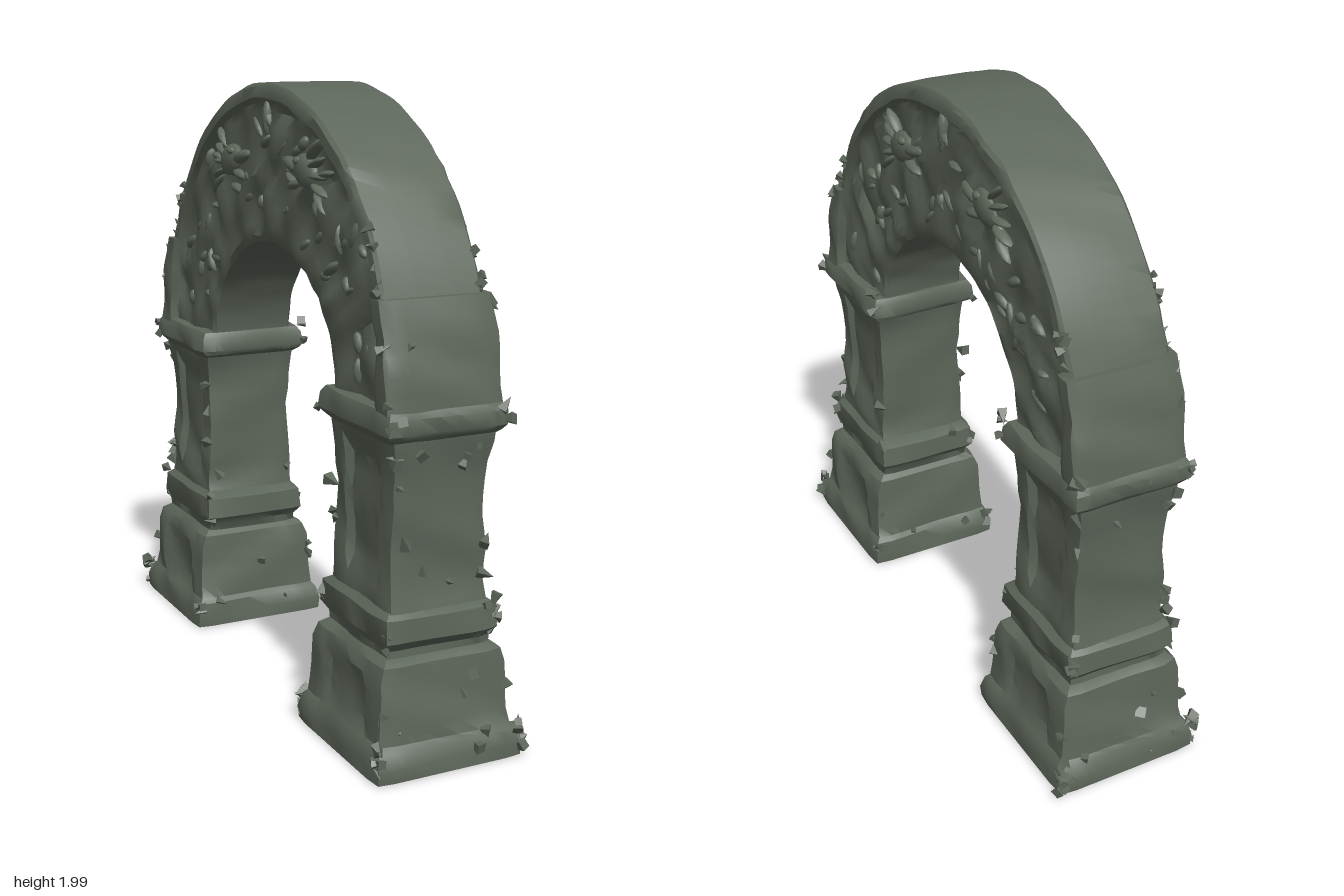
import * as THREE from 'three';
import { toCreasedNormals, mergeGeometries } from 'three/addons/utils/BufferGeometryUtils.js';

const stone = new THREE.MeshStandardMaterial({ color: 0x5d665a });
stone.name = 'mossy grey stone';

let seed = 7;
const rand = () => (seed = (seed * 16807) % 2147483647) / 2147483647;
const span = (a, b) => a + (b - a) * rand();
// Smooth lumpy value in about -1..1, used to weather surfaces
const lump = (x, y, z) =>
  (Math.sin(x * 13 + y * 19 + 2 * Math.sin(z * 11)) + Math.sin(z * 23 - y * 17 + 2 * Math.sin(y * 13 + x * 9))) / 2;

// Skin a list of closed loops, with both ends capped
function loft(loops, crease = 0.6) {
  const n = loops[0].length, pos = loops.flat(2), idx = [];
  for (let i = 0; i < loops.length - 1; i++)
    for (let j = 0; j < n; j++) {
      const a = i * n + j, b = i * n + (j + 1) % n;
      idx.push(a, b, a + n, b, b + n, a + n);
    }
  const last = (loops.length - 1) * n;
  const cap = (loop, first, flip) => {
    const c = pos.length / 3;
    for (let k = 0; k < 3; k++) pos.push(loop.reduce((s, p) => s + p[k], 0) / n);
    for (let j = 0; j < n; j++) {
      const a = first + j, b = first + (j + 1) % n;
      flip ? idx.push(c, b, a) : idx.push(c, a, b);
    }
  };
  cap(loops[0], 0, true);
  cap(loops[loops.length - 1], last, false);
  const g = new THREE.BufferGeometry();
  g.setAttribute('position', new THREE.Float32BufferAttribute(pos, 3));
  g.setIndex(idx);
  return toCreasedNormals(g, crease);
}

function mesh(name, geometry, parent) {
  const m = new THREE.Mesh(geometry, stone);
  m.name = name;
  parent.add(m);
  return m;
}

// Square column section from rows of [y, inner z, outer z, half width]
function column(rows, panel) {
  const loops = [], side = 9;
  rows.forEach((r, i) => {
    const next = rows[i + 1];
    const steps = next ? Math.max(1, Math.round((next[0] - r[0]) / 0.05)) : 1;
    for (let s = 0; s < steps; s++) {
      const [y, zi, zo, hx] = r.map((v, k) => next ? v + (next[k] - v) * s / steps : v);
      const c = [[hx, zo], [hx, zi], [-hx, zi], [-hx, zo]], loop = [];
      for (let k = 0; k < 4; k++)
        for (let j = 0; j < side; j++) {
          const u = [0, 0.12, 0.2, 0.26, 0.42, 0.58, 0.74, 0.8, 0.88][j], d = c[(k + 1) % 4];
          let x = c[k][0] + (d[0] - c[k][0]) * u, z = c[k][1] + (d[1] - c[k][1]) * u;
          const inPanel = k % 2 === 0 && j > 2 && j < 7 && panel.some(([a, b]) => y > a && y < b);
          let push = 0.008 * lump(x, y, z) - (inPanel ? 0.018 : 0);
          if (i === 0 && s === 0) push = 0;
          // Knock the sharp corners back a little
          if (j === 0) { x *= 0.975; z += z > 0.69 ? -0.006 : 0.006; }
          if (k % 2 === 0) x += Math.sign(x) * push; else z += (k === 1 ? -1 : 1) * push;
          loop.push([x, y, z]);
        }
      loops.push(loop);
    }
  });
  return loft(loops);
}

// Jagged broken chip
function chip(x, y, z, size) {
  const g = new THREE.ConeGeometry(size * 0.6, size * 1.5, 4);
  g.rotateX(span(0, 6.28)); g.rotateZ(span(0, 6.28));
  g.translate(x, y, z);
  return toCreasedNormals(g, 0.2);
}

function buildPillar() {
  const p = new THREE.Group();
  mesh('plinth', column([
    [0.01, 0.42, 0.965, 0.25], [0.05, 0.42, 0.965, 0.25], [0.095, 0.43, 0.95, 0.24],
    [0.11, 0.445, 0.935, 0.228], [0.3, 0.46, 0.91, 0.213], [0.34, 0.465, 0.905, 0.2],
    [0.36, 0.49, 0.875, 0.175]], [[0.14, 0.3]]), p);
  mesh('baseMoulding', column([
    [0.33, 0.49, 0.88, 0.175], [0.38, 0.48, 0.88, 0.175], [0.41, 0.455, 0.905, 0.19],
    [0.48, 0.46, 0.9, 0.187], [0.5, 0.5, 0.87, 0.165]], []), p);
  mesh('shaft', column([
    [0.47, 0.495, 0.885, 0.168], [0.55, 0.51, 0.87, 0.163], [0.75, 0.505, 0.87, 0.158],
    [0.92, 0.505, 0.88, 0.16], [0.98, 0.495, 0.895, 0.17], [1.02, 0.485, 0.9, 0.175]], [[0.56, 0.95]]), p);
  mesh('capital', column([
    [1.0, 0.5, 0.885, 0.17], [1.02, 0.465, 0.91, 0.19], [1.035, 0.458, 0.92, 0.203],
    [1.08, 0.46, 0.92, 0.2], [1.1, 0.47, 0.905, 0.188]], []), p);
  // Sloping block on the outside of the springing
  mesh('shoulderBlock', column([
    [1.09, 0.82, 0.905, 0.192], [1.2, 0.82, 0.89, 0.19], [1.3, 0.805, 0.868, 0.19],
    [1.41, 0.775, 0.832, 0.188]], []), p);

  // Broken corners: [y range, z inner, z outer, half width, count]
  const chips = [];
  for (const [y0, y1, zi, zo, hx, count] of [
    [0.03, 0.12, 0.43, 0.95, 0.24, 26], [0.15, 0.3, 0.46, 0.91, 0.21, 8],
    [0.38, 0.5, 0.47, 0.89, 0.18, 12], [0.52, 0.72, 0.51, 0.87, 0.16, 8],
    [0.8, 1.0, 0.51, 0.88, 0.165, 8], [1.03, 1.15, 0.47, 0.91, 0.192, 9], [1.2, 1.4, 0.83, 0.86, 0.185, 4]])
    for (let i = 0; i < count; i++) {
      const sx = rand() < 0.5 ? -1 : 1, outer = rand() < 0.75, onFace = rand() < 0.3;
      chips.push(chip(onFace ? span(-hx, hx) : sx * hx, span(y0, y1), outer ? zo : zi, span(0.022, 0.04)));
    }
  mesh('brokenEdges', mergeGeometries(chips), p);
  return p;
}

// Point between the inner (t = 0) and outer (t = 1) curves of the arch
const archPoint = (a, t) => {
  const zi = 0.48 * Math.cos(a), yi = 1.05 + 0.43 * Math.sin(a);
  return [yi + (1.1 + 0.895 * Math.sin(a) - yi) * t, zi + (0.87 * Math.cos(a) - zi) * t];
};

function buildArch() {
  // Half section: raised outer rim, hollow, carved face, inner edge
  const half = [[0.995, 0.155], [0.97, 0.166], [0.9, 0.168], [0.87, 0.15], [0.82, 0.142], [0.72, 0.147], [0.62, 0.15],
    [0.52, 0.15], [0.42, 0.15], [0.32, 0.15], [0.22, 0.15], [0.12, 0.152], [0.04, 0.152], [0, 0.14]];
  const section = [...half, [0, 0.05], [0, -0.05],
    ...half.map(([t, x]) => [t, -x]).reverse(), [1, -0.06], [1, 0.06]];
  const loops = [], n = 56;
  for (let i = 0; i <= n; i++) {
    const a = Math.PI * i / n;
    loops.push(section.map(([t, x]) => {
      const carved = t > 0.1 && t < 0.85;
      const [y, z] = archPoint(a, t + (carved ? 0 : 0.008 * lump(x, t, a)));
      return [x + Math.sign(x) * (carved ? 0.016 : 0.004) * lump(x * 2, y * 1.4, z * 1.4), y, z];
    }));
  }
  return loft(loops, 0.7);
}

// Faceted pebble stretched along a direction in the face plane
function blob(x, y, z, thick, wide, long, angle) {
  const g = new THREE.IcosahedronGeometry(1, 1);
  g.scale(thick, wide, long);
  g.rotateX(angle);
  g.translate(x, y, z);
  return toCreasedNormals(g, 0.7);
}

// Snarling beast head in low relief, snout towards the crown
function beastHead(sx, sz) {
  const x = sx * 0.15, parts = [
    blob(x, 1.73, sz * 0.29, 0.03, 0.055, 0.08, sz * 0.3),
    blob(x, 1.745, sz * 0.2, 0.026, 0.022, 0.065, sz * 0.25),
    blob(x, 1.685, sz * 0.215, 0.022, 0.016, 0.055, sz * -0.2),
    blob(x + sx * 0.018, 1.762, sz * 0.26, 0.014, 0.014, 0.022, 0)];
  for (let i = 0; i < 5; i++) // mane
    parts.push(blob(x, 1.8 - i * 0.04, sz * (0.35 + 0.012 * i), 0.024, 0.012, 0.055, sz * (-0.7 + i * 0.35)));
  return mergeGeometries(parts);
}

export function createModel() {
  const model = new THREE.Group();
  model.name = 'stoneArch';

  for (const side of [0, 1]) {
    const p = buildPillar();
    p.name = side ? 'backPillar' : 'frontPillar';
    p.rotation.y = side * Math.PI;
    model.add(p);
  }
  mesh('archRing', buildArch(), model);

  for (const sx of [-1, 1]) {
    for (const sz of [-1, 1]) mesh('beastRelief', beastHead(sx, sz), model);
    // Scrolling leaf relief around the band
    const leaves = [];
    for (let i = 0; i < 44; i++) {
      const a = span(0.15, Math.PI - 0.15), [y, z] = archPoint(a, span(0.15, 0.8));
      leaves.push(blob(sx * 0.146, y, z, span(0.01, 0.022), span(0.01, 0.02), span(0.025, 0.05), span(0, 3.14)));
    }
    leaves.push(blob(sx * 0.148, 1.88, 0, 0.02, 0.06, 0.018, 0));
    mesh('leafRelief', mergeGeometries(leaves), model);
    // Chipped rim near the haunches
    const chips = [];
    for (const sz of [-1, 1])
      for (let i = 0; i < 6; i++) {
        const [y, z] = archPoint(span(0.35, 0.65), 0.96);
        chips.push(chip(sx * 0.163, y, sz * z, span(0.02, 0.034)));
      }
    mesh('chippedRim', mergeGeometries(chips), model);
  }
  return model;
}
